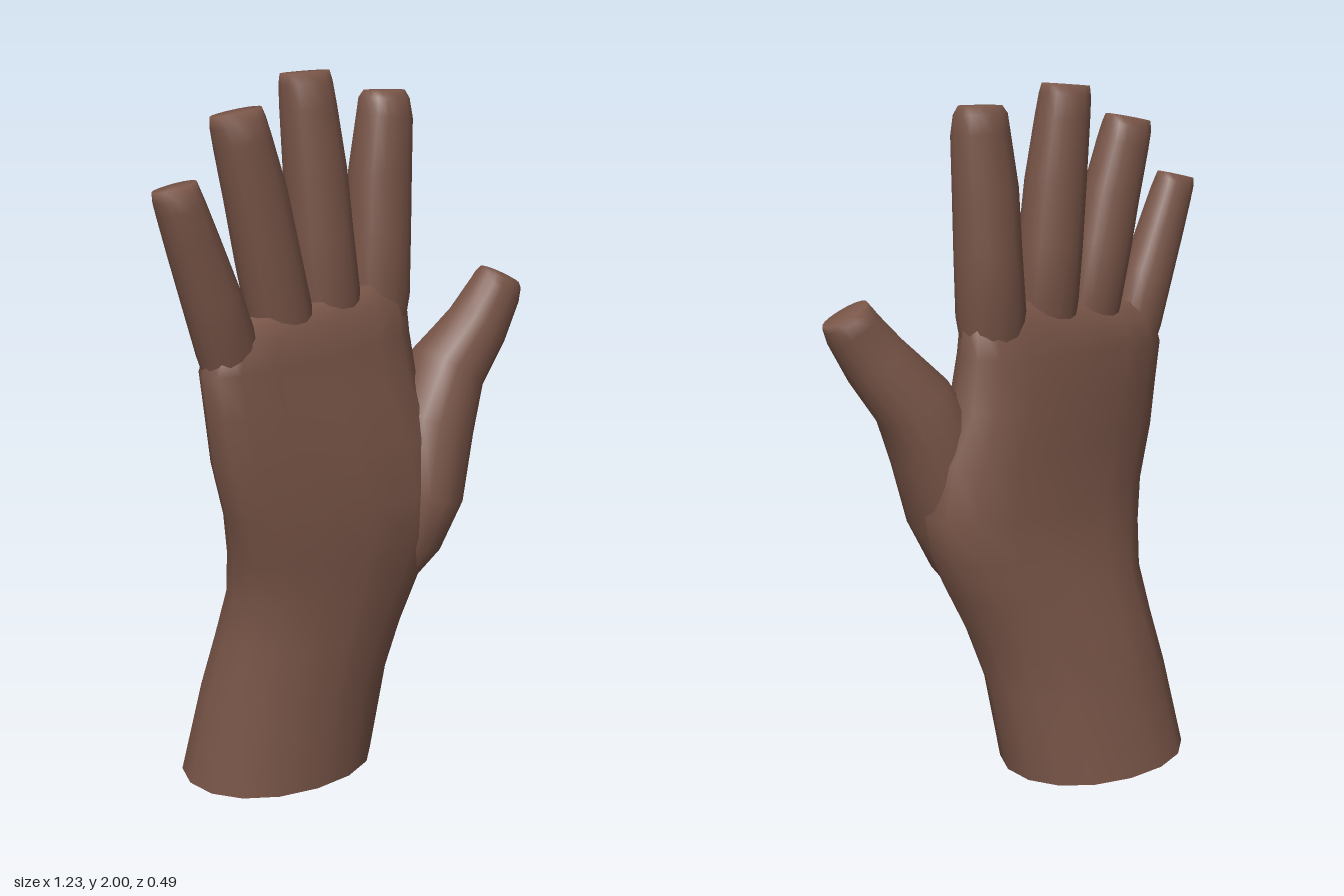
import * as THREE from 'three';

const skin = new THREE.MeshStandardMaterial({ color: 0x795548 });
skin.name = 'brownSkin';

const SIDES = 16;

// Ring: u runs across the width, -z through the depth.
// shear slants depth across the width (lean: more on the back than the front),
// skew slants height across the width, p squares the oval.
function ring({ x, y, z, a, b, dx = 0, dy = 1, shear = 0, lean = 0, skew = 0, p = 1 }) {
  const pts = [];
  for (let i = 0; i < SIDES; i++) {
    const t = (i / SIDES) * Math.PI * 2;
    const c = Math.cos(t), s = Math.sin(t);
    const u = a * Math.sign(c) * Math.pow(Math.abs(c), p);
    const w = b * Math.sign(s) * Math.pow(Math.abs(s), p);
    pts.push([x + u * dy, y - u * dx + u * skew, z - w + u * shear * (1 + lean * s)]);
  }
  return pts;
}

// Smooth skin over a stack of rings, closed at the end by a shared centre point.
function loft(rings, tip) {
  const pos = rings.flat(2);
  const idx = [];
  for (let r = 0; r < rings.length - 1; r++) {
    for (let i = 0; i < SIDES; i++) {
      const j = (i + 1) % SIDES;
      const a = r * SIDES + i, b = r * SIDES + j;
      idx.push(a, b, a + SIDES, b, b + SIDES, a + SIDES);
    }
  }
  const top = (rings.length - 1) * SIDES;
  pos.push(...tip);
  for (let i = 0; i < SIDES; i++) idx.push(top + i, top + ((i + 1) % SIDES), rings.length * SIDES);
  const g = new THREE.BufferGeometry();
  g.setAttribute('position', new THREE.Float32BufferAttribute(pos, 3));
  g.setIndex(idx);
  g.computeVertexNormals();
  return g;
}

// Digit through sections [x, y, z, half width, half depth], with a blunt tip.
function digit(name, sections) {
  const n = sections.length;
  const rings = sections.map(([x, y, z, a, b], i) => {
    const p = sections[Math.max(i - 1, 0)], q = sections[Math.min(i + 1, n - 1)];
    const len = Math.hypot(q[0] - p[0], q[1] - p[1]);
    return ring({ x, y, z, a, b, dx: (q[0] - p[0]) / len, dy: (q[1] - p[1]) / len, p: 0.92 });
  });
  const mesh = new THREE.Mesh(loft(rings, sections[n - 1].slice(0, 3)), skin);
  mesh.name = name;
  return mesh;
}

export function createModel() {
  const hand = new THREE.Group();
  hand.name = 'hand';

  // Forearm, wrist and palm: [y, left x, right x, back z, front z, shear, lean, skew, p]
  const sections = [
    [0, -0.47, 0.115, -0.25, 0.205, 0, 0, 0, 0.95],
    [0.27, -0.42, 0.16, -0.21, 0.215, -0.02, 0, 0, 0.95],
    [0.43, -0.387, 0.215, -0.18, 0.222, -0.05, 0.3, 0, 0.92],
    [0.57, -0.367, 0.28, -0.155, 0.228, -0.09, 0.6, 0, 0.88],
    [0.7, -0.385, 0.335, -0.13, 0.238, -0.13, 0.7, 0, 0.82],
    [0.82, -0.412, 0.358, -0.11, 0.24, -0.16, 0.7, 0, 0.8],
    [0.98, -0.458, 0.33, -0.085, 0.228, -0.18, 0.6, 0, 0.76],
    [1.12, -0.475, 0.262, -0.063, 0.208, -0.2, 0.4, 0, 0.72],
    [1.25, -0.487, 0.24, -0.045, 0.186, -0.2, 0.2, 0.05, 0.68],
    [1.34, -0.462, 0.232, -0.028, 0.168, -0.2, 0, 0.1, 0.66],
    [1.39, -0.41, 0.2, 0.02, 0.12, -0.2, 0, 0.12, 0.7],
  ];
  const rings = sections.map(([y, l, r, back, front, shear, lean, skew, p]) => ring({
    x: (l + r) / 2, y, z: (back + front) / 2, a: (r - l) / 2, b: (front - back) / 2,
    shear, lean, skew, p,
  }));
  const palm = new THREE.Mesh(loft(rings, [-0.105, 1.39, 0.07]), skin);
  palm.name = 'palmAndForearm';
  hand.add(palm);

  // Flat cut at the bottom of the forearm
  const outline = new THREE.Shape(rings[0].map(([x, , z]) => new THREE.Vector2(x, z)));
  const cut = new THREE.Mesh(new THREE.ShapeGeometry(outline).rotateX(Math.PI / 2), skin);
  cut.name = 'forearmCut';
  hand.add(cut);

  // Fingers, rooted inside the palm
  hand.add(
    digit('indexFinger', [
      [0.125, 1.12, 0.02, 0.07, 0.05], [0.145, 1.38, 0.005, 0.097, 0.096], [0.155, 1.55, 0, 0.093, 0.092],
      [0.162, 1.72, -0.002, 0.09, 0.086], [0.176, 1.87, -0.003, 0.08, 0.076],
      [0.178, 1.92, -0.008, 0.073, 0.066], [0.178, 1.942, -0.008, 0.06, 0.048],
    ]),
    digit('middleFinger', [
      [-0.05, 1.12, 0.06, 0.07, 0.05], [-0.05, 1.4, 0.048, 0.096, 0.09], [-0.065, 1.55, 0.045, 0.092, 0.088],
      [-0.08, 1.73, 0.042, 0.087, 0.084], [-0.1, 1.9, 0.04, 0.077, 0.075],
      [-0.107, 1.965, 0.038, 0.073, 0.066], [-0.109, 1.993, 0.037, 0.07, 0.05],
    ]),
    digit('ringFinger', [
      [-0.19, 1.1, 0.1, 0.07, 0.045], [-0.225, 1.37, 0.09, 0.09, 0.084], [-0.262, 1.53, 0.092, 0.088, 0.082],
      [-0.297, 1.68, 0.098, 0.085, 0.077], [-0.335, 1.82, 0.1, 0.077, 0.072],
      [-0.348, 1.87, 0.1, 0.074, 0.064], [-0.353, 1.897, 0.1, 0.071, 0.046],
    ]),
    digit('littleFinger', [
      [-0.36, 1.08, 0.13, 0.06, 0.035], [-0.41, 1.3, 0.135, 0.083, 0.077], [-0.456, 1.43, 0.142, 0.078, 0.072],
      [-0.508, 1.57, 0.15, 0.07, 0.066], [-0.543, 1.665, 0.155, 0.064, 0.06],
      [-0.555, 1.7, 0.155, 0.062, 0.052], [-0.56, 1.722, 0.155, 0.06, 0.04],
    ]),
    // Thumb, swelling out of the heel of the palm
    digit('thumb', [
      [0.15, 0.5, 0.06, 0.04, 0.06], [0.195, 0.65, 0.075, 0.1, 0.135], [0.235, 0.8, 0.085, 0.128, 0.158],
      [0.29, 1.0, 0.07, 0.132, 0.14], [0.364, 1.145, 0.06, 0.113, 0.115], [0.461, 1.262, 0.072, 0.095, 0.088],
      [0.53, 1.36, 0.066, 0.079, 0.075], [0.545, 1.39, 0.063, 0.073, 0.066], [0.552, 1.404, 0.062, 0.069, 0.048],
    ]),
  );
  return hand;
}
